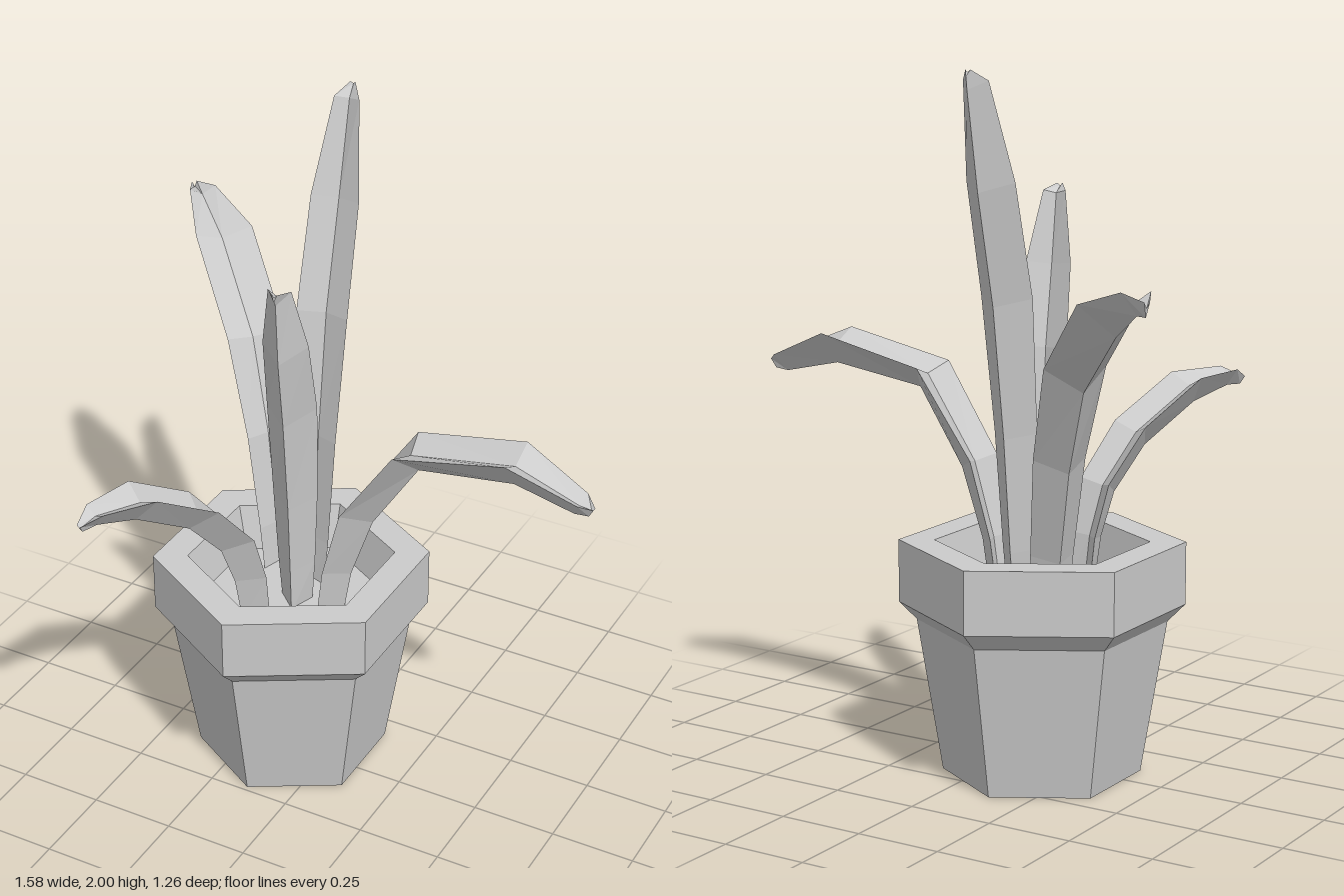
import * as THREE from 'three';

const material = new THREE.MeshStandardMaterial({ color: 0xcccccc, flatShading: true });

function facetedMesh(name, geometry) {
  const flat = geometry.toNonIndexed();
  flat.computeVertexNormals();
  const mesh = new THREE.Mesh(flat, material);
  mesh.name = name;
  return mesh;
}

// Hexagonal solid turned from a profile of [radius, y]
function hexLathe(name, profile) {
  const points = profile.map(([r, y]) => new THREE.Vector2(r, y));
  const mesh = facetedMesh(name, new THREE.LatheGeometry(points, 6));
  mesh.position.set(-0.137, 0, -0.045);
  return mesh;
}

// Grooved, keeled leaf bending outwards from [x, z] along a ground direction.
// Each station is [distance, height, width, keel depth].
function leaf(name, [x0, z0], [dirX, dirZ], stations) {
  const length = Math.hypot(dirX, dirZ);
  const dx = dirX / length, dz = dirZ / length;
  const side = new THREE.Vector3(-dz, 0, dx);
  const positions = [], index = [];
  const last = stations.length - 1;

  stations.forEach(([r, y, width, depth], i) => {
    const before = stations[Math.max(i - 1, 0)];
    const after = stations[Math.min(i + 1, last)];
    const t = new THREE.Vector2(after[0] - before[0], after[1] - before[1]).normalize();
    const up = new THREE.Vector3(-t.y * dx, t.x, -t.y * dz);
    const centre = new THREE.Vector3(x0 + r * dx, y, z0 + r * dz);
    // Groove, one edge, keel, other edge
    for (const [s, n] of [[0, -0.4 * depth], [width / 2, 0], [0, -depth], [-width / 2, 0]]) {
      positions.push(...centre.clone().addScaledVector(side, s).addScaledVector(up, n).toArray());
    }
    if (i === last) return;
    for (let j = 0; j < 4; j++) {
      const a = i * 4 + j, b = i * 4 + (j + 1) % 4;
      index.push(a, b, b + 4, a, b + 4, a + 4);
    }
  });

  // Closed ends
  const e = last * 4;
  index.push(e, e + 1, e + 2, e, e + 2, e + 3, 0, 2, 1, 0, 3, 2);
  const geometry = new THREE.BufferGeometry();
  geometry.setAttribute('position', new THREE.Float32BufferAttribute(positions, 3));
  geometry.setIndex(index);
  return facetedMesh(name, geometry);
}

export function createModel() {
  const model = new THREE.Group();
  model.name = 'pottedPlant';

  // Pot with a heavy rim and a hollow top, and the soil inside it
  model.add(hexLathe('pot', [
    [0, 0], [0.281, 0], [0.353, 0.44], [0.403, 0.49], [0.403, 0.67], [0.302, 0.67], [0.264, 0.53],
  ]));
  model.add(hexLathe('soil', [[0.266, 0.535], [0, 0.535]]));

  const leaves = new THREE.Group();
  leaves.name = 'leaves';
  leaves.add(
    leaf('leftLeaf', [-0.03, -0.057], [1, 0], [
      [0, 0.52, 0.11, 0.06], [0.02, 0.67, 0.12, 0.065], [0.08, 0.89, 0.14, 0.08], [0.25, 1.14, 0.165, 0.08],
      [0.585, 1.21, 0.15, 0.095], [0.785, 1.125, 0.075, 0.055], [0.82, 1.105, 0.012, 0.03],
    ]),
    leaf('backRightLeaf', [-0.23, -0.155], [-0.763, -0.647], [
      [0, 0.52, 0.11, 0.06], [0.015, 0.67, 0.125, 0.07], [0.075, 0.95, 0.15, 0.085], [0.2, 1.22, 0.175, 0.09],
      [0.465, 1.43, 0.175, 0.095], [0.655, 1.485, 0.08, 0.06], [0.733, 1.47, 0.015, 0.04],
    ]),
    leaf('frontRightLeaf', [-0.19, 0.06], [-0.38, 0.925], [
      [0, 0.52, 0.11, 0.06], [0.015, 0.67, 0.12, 0.07], [0.06, 0.82, 0.13, 0.08], [0.185, 0.97, 0.14, 0.085],
      [0.39, 1.09, 0.135, 0.085], [0.55, 1.095, 0.075, 0.05], [0.605, 1.065, 0.015, 0.025],
    ]),
    leaf('tallBackLeaf', [-0.12, -0.115], [-0.1, -1], [
      [0, 0.52, 0.1, 0.06], [0.02, 0.67, 0.11, 0.065], [0.05, 1, 0.13, 0.075], [0.105, 1.38, 0.155, 0.085],
      [0.2, 1.7, 0.145, 0.08], [0.285, 1.97, 0.075, 0.055], [0.33, 2, 0.015, 0.02],
    ]),
    leaf('uprightFrontLeaf', [-0.115, -0.04], [0.25, 0.97], [
      [0, 0.52, 0.09, 0.07], [0.005, 0.67, 0.11, 0.075], [0.015, 0.9, 0.13, 0.085], [0.045, 1.21, 0.145, 0.1],
      [0.108, 1.44, 0.13, 0.085], [0.165, 1.635, 0.065, 0.05], [0.22, 1.65, 0.015, 0.02],
    ]),
  );
  model.add(leaves);
  return model;
}
